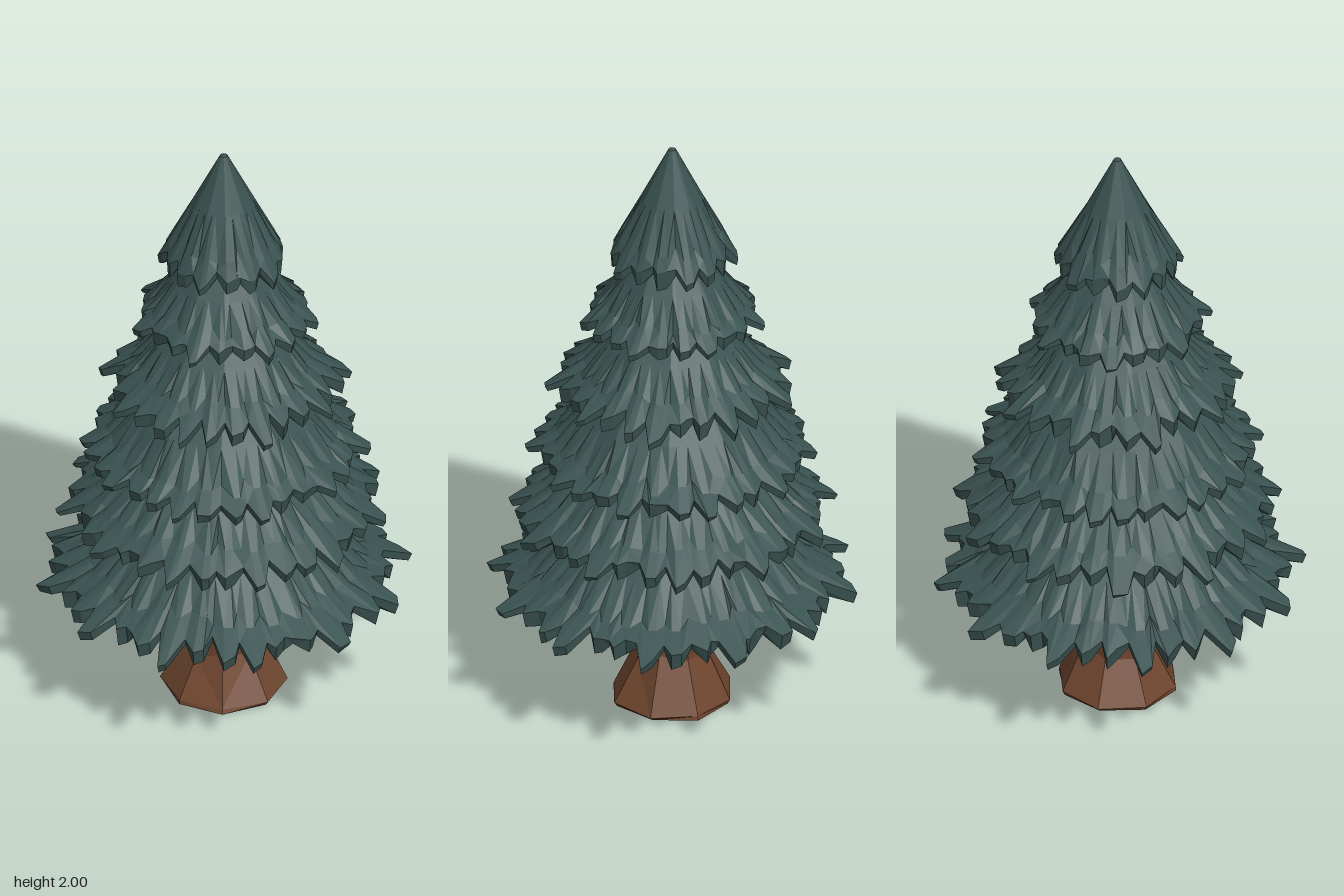
import * as THREE from 'three';

// Seeded random numbers in 0..1
function makeRandom(seed) {
  let s = seed;
  return () => {
    s = (s * 16807) % 2147483647;
    return s / 2147483647;
  };
}

// Joins closed rings of points, listed from top to bottom, into a faceted skin
function skinRings(rings) {
  const pos = [];
  const n = rings[0].length;
  for (let i = 0; i < rings.length - 1; i++) {
    for (let j = 0; j < n; j++) {
      const k = (j + 1) % n;
      const a = rings[i][j], b = rings[i][k], c = rings[i + 1][j], d = rings[i + 1][k];
      if (j % 2) pos.push(...a, ...c, ...d, ...a, ...d, ...b);
      else pos.push(...a, ...c, ...b, ...b, ...c, ...d);
    }
  }
  const geo = new THREE.BufferGeometry();
  geo.setAttribute('position', new THREE.Float32BufferAttribute(pos, 3));
  geo.computeVertexNormals();
  return geo;
}

const lerp = THREE.MathUtils.lerp;

// One skirt: straight slope from top to root, blunt teeth out to the edge, hollow underside.
// top, root, edge and inner are [radius, height]; low is the lowest point of the rim.
function tierGeometry({ top, root, edge, inner, low, teeth, seed }) {
  const rand = makeRandom(seed);
  const rings = Array.from({ length: 8 }, () => []);
  const facetStep = (Math.PI * 2) / 10;
  const pitch = (Math.PI * 2) / teeth;

  // t runs from root (0) to edge (1), s runs from top (0) to root (1)
  const addColumn = (angle, t, s, bulge, rimY) => {
    const local = (angle + seed + Math.PI * 2) % facetStep - facetStep / 2;
    const poly = 1.03 * Math.cos(facetStep / 2) / Math.cos(local);
    const rimR = lerp(root[0], edge[0], t);
    const profile = [
      [0, top[1]],
      [top[0] * poly, top[1] - 0.004],
      [lerp(top[0], root[0], 0.55) * poly, lerp(top[1], root[1], 0.55)],
      [lerp(top[0], root[0], s) + bulge, lerp(top[1], root[1], s) + bulge],
      [rimR, lerp(root[1], edge[1], t)],
      [rimR * 0.98, rimY],
      [edge[0] * 0.68, low + 0.05],
      inner,
    ];
    profile.forEach(([r, y], i) => rings[i].push([Math.sin(angle) * r, y, Math.cos(angle) * r]));
  };

  for (let j = 0; j < teeth; j++) {
    const long = j % 3 === 0;
    const mid = pitch * (j + (long ? 0 : (rand() - 0.5) * 0.3));
    const half = pitch * (0.1 + rand() * 0.15);
    const reach = long ? 0.92 + rand() * 0.13 : 0.45 + rand() * 0.4;
    const s = 0.9 + rand() * 0.15;
    const rimY = low + rand() * 0.015;
    // two corners of the blunt tip, then the notch beside it
    addColumn(mid - half, reach, s, 0.005, rimY);
    addColumn(mid + half, reach - rand() * 0.25, s, 0.005, rimY + 0.01);
    const notch = 0.2 + rand() * 0.3;
    const notchY = lerp(root[1], edge[1], notch) - 0.025;
    addColumn(pitch * (j + 0.5), notch, 0.84 + rand() * 0.14, -0.003, notchY);
  }
  return skinRings(rings);
}

export function createModel() {
  const tree = new THREE.Group();
  tree.name = 'pineTree';
  const needles = new THREE.MeshStandardMaterial({ color: 0x3a5351, flatShading: true });
  needles.name = 'dark green needles';
  const bark = new THREE.MeshStandardMaterial({ color: 0x6f462f, flatShading: true });
  bark.name = 'brown bark';

  // Foliage, from the widest skirt up to the pointed crown
  const tiers = [
    { top: [0.2, 0.75], root: [0.45, 0.49], edge: [0.605, 0.425], inner: [0.08, 0.56], low: 0.388, teeth: 36 },
    { top: [0.2, 0.97], root: [0.42, 0.745], edge: [0.535, 0.68], inner: [0.2, 0.71], low: 0.65, teeth: 33 },
    { top: [0.17, 1.21], root: [0.375, 0.945], edge: [0.47, 0.9], inner: [0.19, 0.93], low: 0.868, teeth: 30 },
    { top: [0.115, 1.44], root: [0.29, 1.21], edge: [0.41, 1.14], inner: [0.15, 1.17], low: 1.11, teeth: 27 },
    { top: [0.08, 1.66], root: [0.23, 1.44], edge: [0.305, 1.39], inner: [0.1, 1.41], low: 1.36, teeth: 21 },
    { top: [0.012, 2], root: [0.165, 1.68], edge: [0.215, 1.605], inner: [0.07, 1.625], low: 1.575, teeth: 15 },
  ];
  tiers.forEach((t, i) => {
    const mesh = new THREE.Mesh(tierGeometry({ ...t, seed: 4021 + i * 977 }), needles);
    mesh.name = 'foliageTier' + (i + 1);
    tree.add(mesh);
  });

  // Trunk: eight-sided post that flares into a rooted foot
  const levels = [[0, 0.62], [0.115, 0.615], [0.124, 0.4], [0.124, 0.17], [0.202, 0.015], [0.192, 0], [0, 0]];
  const rand = makeRandom(77);
  const rings = levels.map(([r, y], i) =>
    Array.from({ length: 8 }, (_, j) => {
      const a = ((j + 0.4) / 8) * Math.PI * 2;
      const rr = r * (0.96 + rand() * 0.08);
      const yy = i === 3 ? y + (rand() - 0.5) * 0.06 : y;
      return [Math.sin(a) * rr, yy, Math.cos(a) * rr];
    }));
  const trunk = new THREE.Mesh(skinRings(rings), bark);
  trunk.name = 'trunk';
  tree.add(trunk);

  return tree;
}
